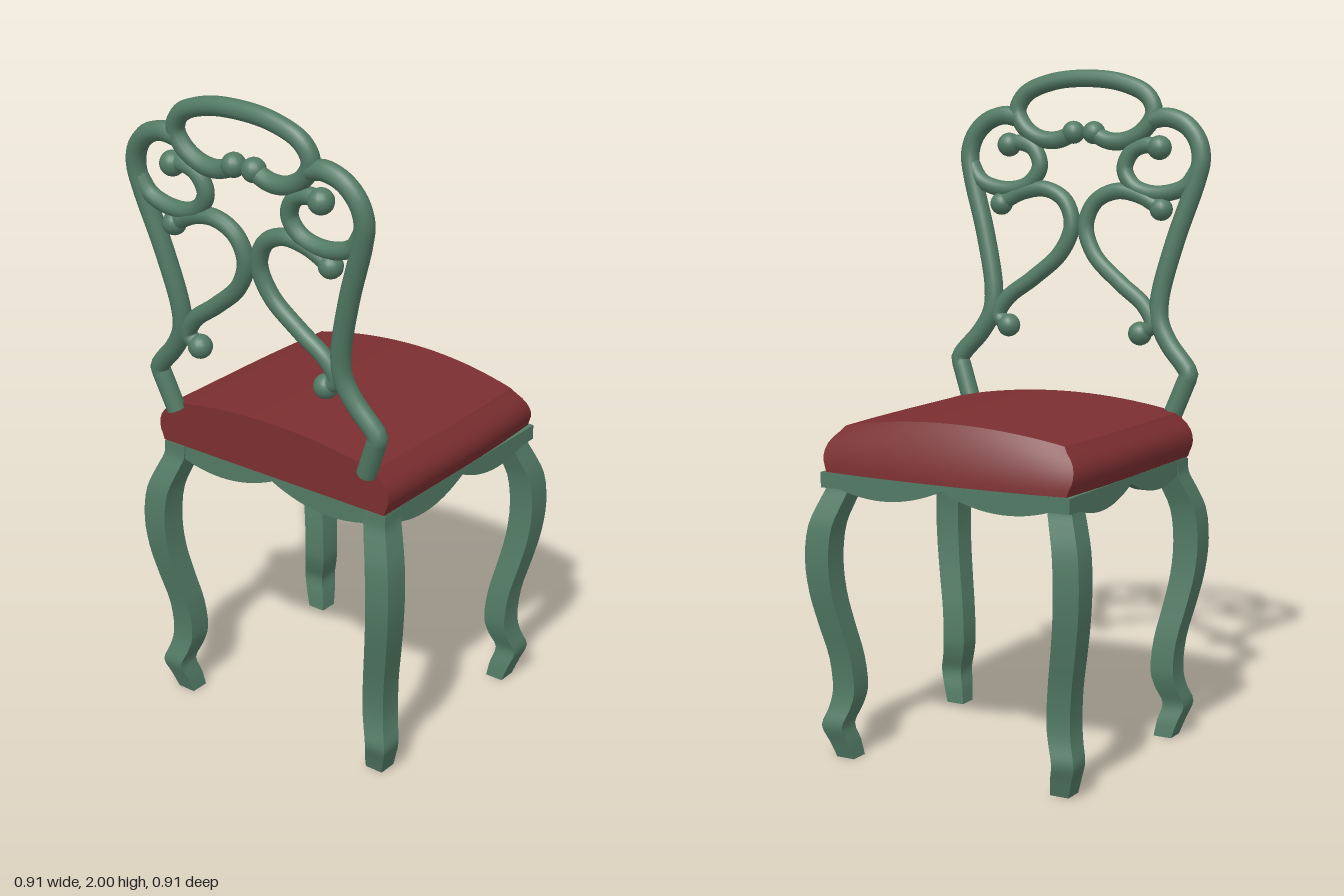
import * as THREE from 'three';

const green = new THREE.MeshStandardMaterial({ color: 0x527a64 });
green.name = 'green paint';
const red = new THREE.MeshStandardMaterial({ color: 0x7b2e30 });
red.name = 'red upholstery';

function mesh(name, geometry, material, parent) {
  const m = new THREE.Mesh(geometry, material);
  m.name = name;
  parent.add(m);
  return m;
}

// Reshape a subdivided unit box: rule(u, v, w, target), u and w in -1..1, v in 0..1
function shapedBox(nx, ny, nz, rule) {
  const g = new THREE.BoxGeometry(2, 1, 2, nx, ny, nz);
  const p = g.attributes.position;
  const t = new THREE.Vector3();
  for (let i = 0; i < p.count; i++) {
    rule(p.getX(i), p.getY(i) + 0.5, p.getZ(i), t);
    p.setXYZ(i, t.x, t.y, t.z);
  }
  g.computeVertexNormals();
  return g;
}

// Cushion: crowned top, bulged sides, sloping bowed front at -z
function cushionGeometry() {
  const profile = new THREE.SplineCurve([[0.405, 0], [0.42, 0.35], [0.41, 0.65], [0.37, 1]]
    .map(([x, y]) => new THREE.Vector2(x, y)));
  return shapedBox(20, 8, 14, (u, v, w, t) => {
    const taper = 1 - 0.035 * Math.pow(Math.max(0, -w), 2);
    const top = 0.985 + 0.037 * (1 - u * u);
    const front = -0.445 + 0.02 * u * u + 0.052 * Math.pow(v, 1.7);
    t.set(u * profile.getPoint(v).x * taper, THREE.MathUtils.lerp(0.855, top, v),
      THREE.MathUtils.lerp(front, 0.32, (w + 1) / 2));
  });
}

// Cabriole leg: [height, diagonal offset, half width] from floor to apron
const legStations = [
  [0, 0.0, 0.029], [0.05, 0.012, 0.033], [0.1, 0.026, 0.035], [0.15, 0.01, 0.036],
  [0.2, 0.0, 0.037], [0.3, 0.006, 0.037], [0.4, 0.026, 0.038], [0.5, 0.044, 0.039],
  [0.6, 0.051, 0.04], [0.7, 0.043, 0.04], [0.77, 0.02, 0.039], [0.81, 0.006, 0.038], [0.85, 0.004, 0.038],
];
function legGeometry(x, z, sx, sz) {
  const curve = new THREE.CatmullRomCurve3(legStations.map(([y, d, h]) => new THREE.Vector3(d, y, h)));
  return shapedBox(1, 36, 1, (u, v, w, t) => {
    const s = curve.getPoint(v);
    t.set(sx * (x + s.x) + u * s.z, s.y, sz * (z + s.x) + w * s.z);
  });
}

// Apron rail with two scallops meeting in a cusp
function apronGeometry(half) {
  const s = new THREE.Shape();
  const e = half * 0.84;
  s.moveTo(-half, 0.855);
  s.lineTo(-half, 0.81);
  s.lineTo(-e, 0.81);
  s.quadraticCurveTo(-half * 0.42, 0.757, 0, 0.835);
  s.quadraticCurveTo(half * 0.42, 0.757, e, 0.81);
  s.lineTo(half, 0.81);
  s.lineTo(half, 0.855);
  const g = new THREE.ExtrudeGeometry(s, { depth: 0.03, bevelEnabled: false, curveSegments: 14 });
  return g.translate(0, 0, -0.03);
}

// Point on the raked plane of the backrest
const onBack = (x, y) => new THREE.Vector3(x, y, 0.325 + (y - 0.98) * 0.105);

function rod(name, pts, side, radius, parent) {
  const curve = new THREE.CatmullRomCurve3(pts.map(([x, y]) => onBack(x * side, y)), false, 'centripetal');
  mesh(name, new THREE.TubeGeometry(curve, 72, radius, 12), green, parent);
  return curve;
}
function ball(name, x, y, side, radius, parent) {
  mesh(name, new THREE.SphereGeometry(radius, 16, 12), green, parent).position.copy(onBack(x * side, y));
}

const post = [[0.35, 0.975], [0.388, 1.075], [0.396, 1.098], [0.383, 1.12], [0.325, 1.185], [0.29, 1.25],
  [0.287, 1.32], [0.327, 1.49], [0.385, 1.67], [0.397, 1.735], [0.382, 1.79], [0.34, 1.835], [0.28, 1.855], [0.23, 1.848]];
const sideLoop = [[0.393, 1.71], [0.35, 1.652], [0.253, 1.628], [0.178, 1.65], [0.146, 1.7],
  [0.168, 1.752], [0.215, 1.772], [0.258, 1.765]];
const heart = [[0.275, 1.585], [0.2, 1.622], [0.12, 1.632], [0.052, 1.598], [0.024, 1.525], [0.058, 1.44],
  [0.148, 1.36], [0.237, 1.293], [0.266, 1.24], [0.228, 1.21]];
const crest = [[0.035, 1.803], [0.09, 1.782], [0.15, 1.786], [0.205, 1.818], [0.234, 1.87], [0.208, 1.92], [0.12, 1.957]];

export function createModel() {
  const chair = new THREE.Group();
  chair.name = 'chair';

  mesh('seatCushion', cushionGeometry(), red, chair);

  // Seat frame
  const frame = new THREE.Group();
  frame.name = 'seatFrame';
  chair.add(frame);
  mesh('seatBase', new THREE.BoxGeometry(0.79, 0.012, 0.72), green, frame).position.set(0, 0.849, -0.06);
  mesh('backApron', apronGeometry(0.405), green, frame).position.z = 0.312;
  const frontApron = mesh('frontApron', apronGeometry(0.405), green, frame);
  frontApron.rotation.y = Math.PI;
  frontApron.position.z = -0.432;
  for (const side of [1, -1]) {
    const apron = mesh(side > 0 ? 'leftApron' : 'rightApron', apronGeometry(0.371), green, frame);
    apron.rotation.y = side * Math.PI / 2;
    apron.position.set(side * 0.406, 0, -0.06);
  }

  // Legs; the seat front lies at -z
  for (const side of [1, -1]) {
    const label = side > 0 ? 'Left' : 'Right';
    mesh('backLeg' + label, legGeometry(0.365, 0.274, side, 1), green, chair);
    mesh('frontLeg' + label, legGeometry(0.356, 0.366, side, -1), green, chair);
  }

  // Scrolled backrest
  const back = new THREE.Group();
  back.name = 'backrest';
  chair.add(back);
  rod('crestRing', [...crest, [0, 1.969], ...crest.map(([x, y]) => [-x, y]).reverse()], 1, 0.027, back);
  for (const side of [1, -1]) {
    const curve = rod('backPost', post, side, 0.029, back);
    const cap = mesh('postEnd', new THREE.CylinderGeometry(0.029, 0.029, 0.01, 12), green, back);
    cap.position.copy(curve.getPoint(0));
    cap.quaternion.setFromUnitVectors(new THREE.Vector3(0, 1, 0), curve.getTangent(0));
    rod('sideLoop', sideLoop, side, 0.025, back);
    rod('heartScroll', heart, side, 0.025, back);
    ball('crestKnob', 0.035, 1.806, side, 0.035, back);
    ball('sideLoopKnob', 0.258, 1.765, side, 0.037, back);
    ball('upperHeartKnob', 0.275, 1.583, side, 0.035, back);
    ball('lowerHeartKnob', 0.227, 1.21, side, 0.036, back);
  }
  return chair;
}
